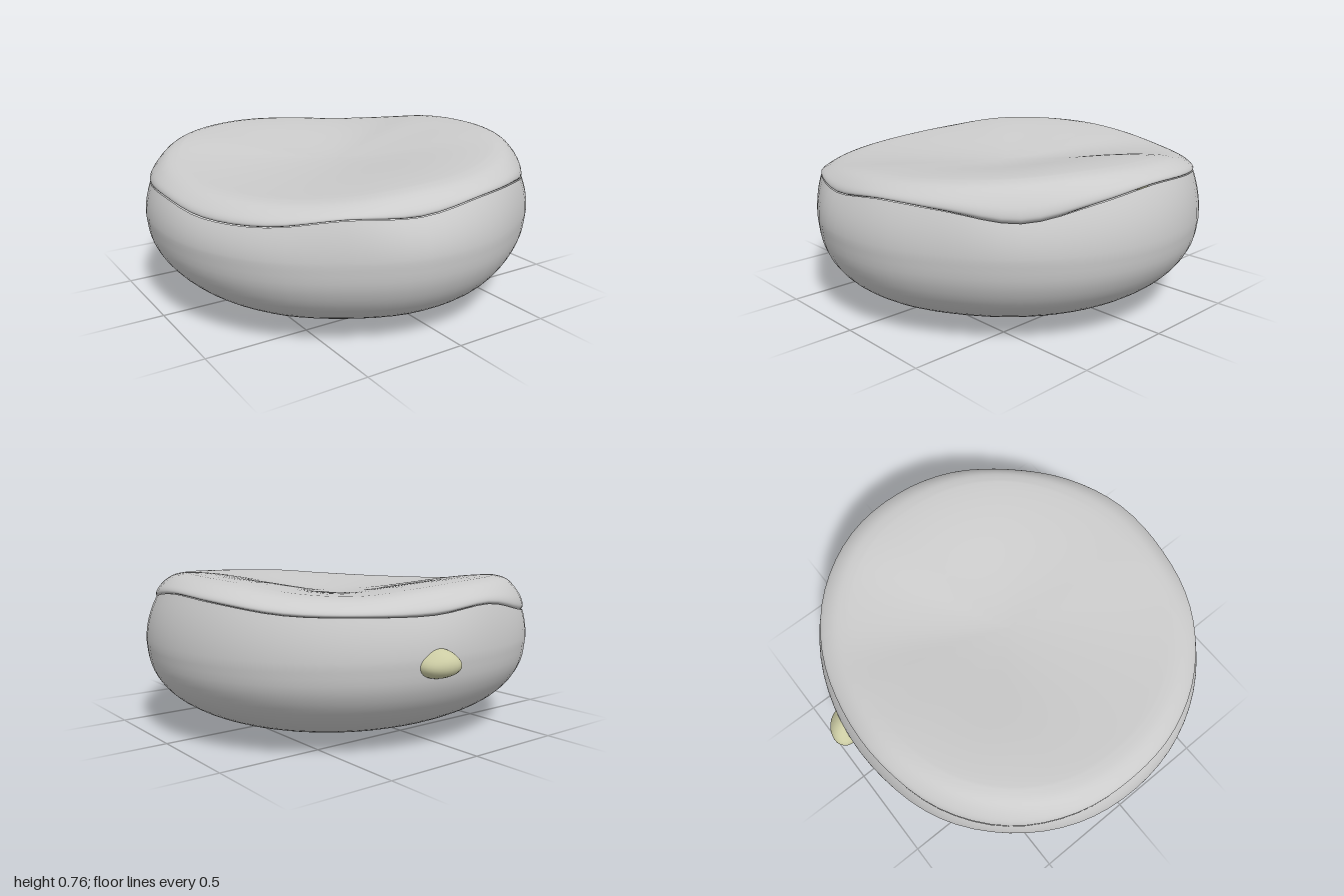
import * as THREE from 'three';

// Keys every 20 degrees from +x towards +z: heights of the wavy seam and the puffed ridge,
// then small radial swellings of the outer and the seam outline
const SEAM = [.69, .65, .59, .63, .642, .608, .618, .578, .568, .59, .58, .555, .59, .65, .625, .63, .64, .675];
const RIDGE = [.76, .76, .745, .73, .715, .70, .675, .66, .66, .672, .697, .733, .745, .742, .725, .702, .715, .75];
const OUTER_SWELL = [0, -.015, -.03, -.03, 0, .01, -.01, 0, 0, 0, .01, .015, .02, .005, .005, .015, .018, .01];
const SEAM_SWELL = [0, 0, .005, 0, .005, .01, .015, .02, .01, 0, .02, .035, .03, .005, 0, .02, .035, .025];
const SIDES = 72;
const CENTRE_Y = 0.655;
const WIDEST_Y = 0.43;

// Periodic smooth interpolation of evenly spaced keys
function sample(keys, angle) {
  const n = keys.length;
  const u = (angle / (2 * Math.PI)) * n;
  const i = Math.floor(u), t = u - i;
  const [a, b, c, d] = [-1, 0, 1, 2].map(k => keys[(i + k + n) % n]);
  return b + 0.5 * t * (c - a + t * (2 * a - 5 * b + 4 * c - d + t * (3 * (b - c) + d - a)));
}

// Outer and seam outlines: slightly offset, swollen ellipses scaled by f
function outer(a, f = 1) {
  const r = f * (1 + sample(OUTER_SWELL, a));
  return [r * Math.cos(a), 0.028 + r * 0.957 * Math.sin(a)];
}
function inner(a, f = 1) {
  const r = f * (1 + sample(SEAM_SWELL, a));
  return [-0.012 + r * 0.943 * Math.cos(a), 0.015 + r * 0.908 * Math.sin(a)];
}

const curve = (points, n) =>
  new THREE.SplineCurve(points.map(p => new THREE.Vector2(...p))).getPoints(n);

// Closed rings joined from bottom to top; ring(row, angle) gives [x, y, z]
function skin(rows, ring) {
  const pos = [], index = [];
  for (let j = 0; j < rows; j++)
    for (let i = 0; i < SIDES; i++) pos.push(...ring(j, (i / SIDES) * 2 * Math.PI));
  for (let j = 0; j < rows - 1; j++)
    for (let i = 0; i < SIDES; i++) {
      const k = (i + 1) % SIDES;
      const a = j * SIDES + i, b = j * SIDES + k, c = a + SIDES, d = b + SIDES;
      index.push(a, c, b, b, c, d);
    }
  const geo = new THREE.BufferGeometry();
  geo.setAttribute('position', new THREE.Float32BufferAttribute(pos, 3));
  geo.setIndex(index);
  geo.computeVertexNormals();
  return geo;
}

function part(name, geo, color = 0xcccccc) {
  const mesh = new THREE.Mesh(geo, new THREE.MeshStandardMaterial({ color, side: THREE.DoubleSide }));
  mesh.name = name;
  return mesh;
}

// Rounded bowl from the flat underside to the widest line, then in to the seam
function bodyGeometry() {
  const lower = curve([
    [0, 0], [0.25, 0.004], [0.45, 0.018], [0.65, 0.056], [0.81, 0.125],
    [0.92, 0.215], [0.982, 0.32], [1, WIDEST_Y],
  ], 28);
  const upper = 10;
  return skin(lower.length + upper, (j, a) => {
    if (j < lower.length) {
      const { x: f, y } = lower[j];
      // the front is a little fuller below the widest line
      const full = 0.03 * Math.max(0, Math.sin(a)) * Math.sin(Math.PI * f * f);
      const [x, z] = outer(a, f + full);
      return [x, Math.max(0, y), z];
    }
    const t = (j - lower.length + 1) / upper;
    const w = t * t;
    const [x0, z0] = outer(a), [x1, z1] = inner(a);
    return [x0 + (x1 - x0) * w, WIDEST_Y + (sample(SEAM, a) - WIDEST_Y) * t, z0 + (z1 - z0) * w];
  });
}

// Pillowy top: tucked edge, bulging lip, ridge, then a broad sunken middle
function topGeometry() {
  const lip = curve([
    [0.965, -0.1], [0.995, 0.03], [1, 0.18], [0.985, 0.42], [0.945, 0.73],
    [0.9, 0.92], [0.84, 1],
  ], 20);
  const dip = 18;
  return skin(lip.length + dip, (j, a) => {
    const seam = sample(SEAM, a), ridge = sample(RIDGE, a);
    if (j < lip.length) {
      const [x, z] = inner(a, lip[j].x);
      return [x, seam + (ridge - seam) * lip[j].y, z];
    }
    const s = 1 - (j - lip.length + 1) / dip;
    const [x, z] = inner(a, 0.84 * s);
    return [x, CENTRE_Y + (ridge - CENTRE_Y) * s * s * (3 - 2 * s), z];
  });
}

// Small lopsided pebble on the back
function knobGeometry() {
  const geo = new THREE.SphereGeometry(1, 24, 16);
  const p = geo.attributes.position;
  for (let i = 0; i < p.count; i++) {
    const x = p.getX(i), y = p.getY(i), z = p.getZ(i);
    const k = 1 + 0.06 * Math.sin(3 * x + 2 * y) + 0.05 * Math.cos(4 * y - z);
    p.setXYZ(i, 0.087 * x * k + 0.03 * z, 0.068 * y * k * (1 + 0.12 * z), 0.082 * z);
  }
  geo.computeVertexNormals();
  return geo;
}

export function createModel() {
  const group = new THREE.Group();
  group.name = 'cushion';
  group.add(part('body', bodyGeometry()), part('topCover', topGeometry()));
  const knob = part('knob', knobGeometry(), 0xcccca4);
  knob.position.set(0.163, 0.418, -0.915);
  group.add(knob);
  return group;
}
